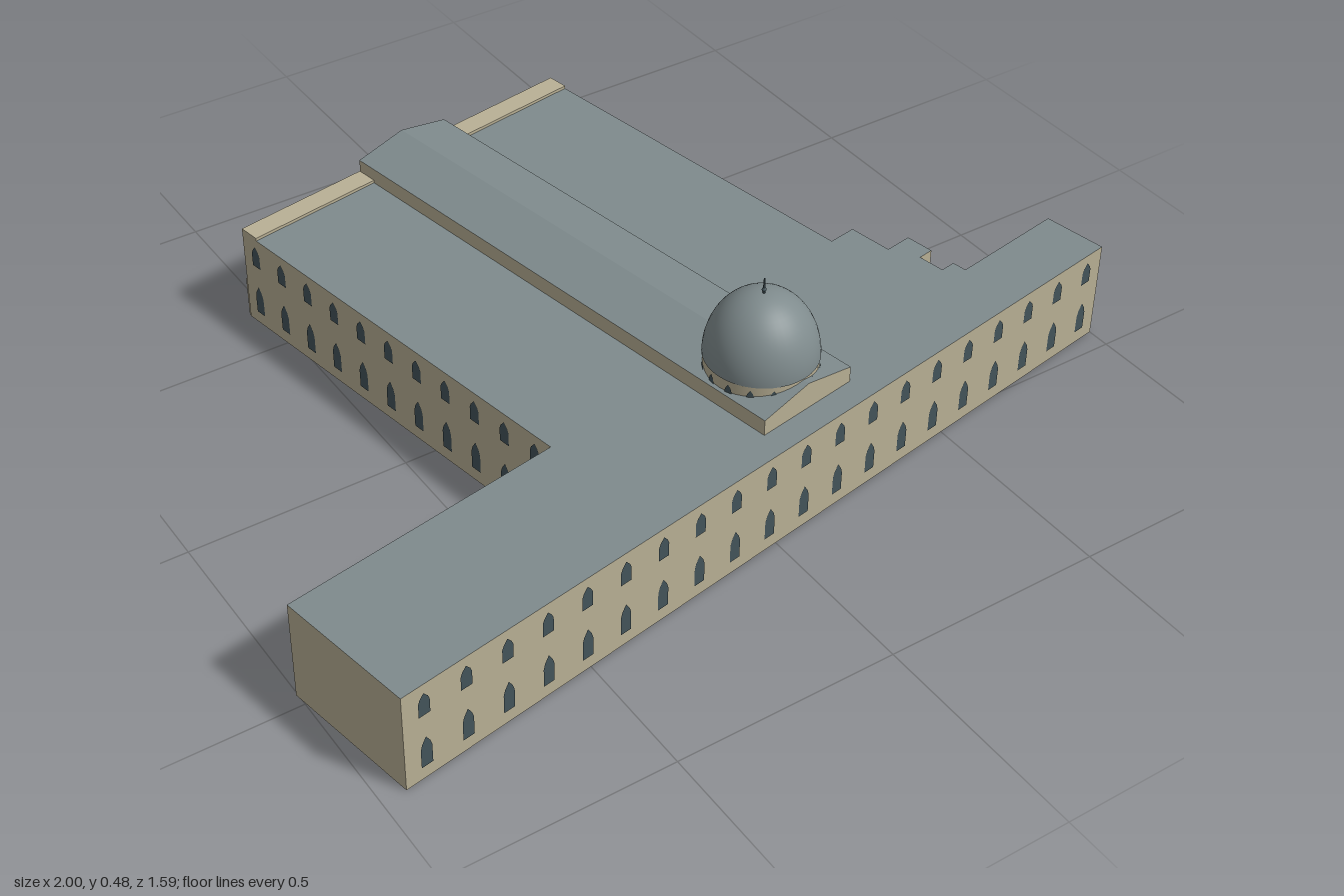
import * as THREE from 'three';
import { mergeGeometries } from 'three/addons/utils/BufferGeometryUtils.js';

const H = 0.233; // wall height

function material(name, color, side = THREE.DoubleSide) {
  const m = new THREE.MeshStandardMaterial({ color, side });
  m.name = name;
  return m;
}

// Pointed window outline, bottom centre at (0, y)
function windowShape(y, w, h) {
  const s = new THREE.Shape();
  s.moveTo(-w / 2, y);
  s.lineTo(w / 2, y);
  s.lineTo(w / 2, y + h * 0.6);
  s.lineTo(w * 0.36, y + h * 0.78);
  s.lineTo(0, y + h);
  s.lineTo(-w * 0.36, y + h * 0.78);
  s.lineTo(-w / 2, y + h * 0.6);
  return s;
}

export function createModel() {
  const stone = material('sandstone', 0xb9b095);
  const slate = material('slate', 0x7f8b8d);
  const glass = material('dark glass', 0x43545a);
  const brown = material('brown reveal', 0x7a6557);

  const model = new THREE.Group();
  const building = new THREE.Group();
  building.name = 'building';
  building.rotation.y = THREE.MathUtils.degToRad(10);
  model.add(building);

  function add(name, geometry, mat, x = 0, y = 0, z = 0) {
    const mesh = new THREE.Mesh(geometry, mat);
    mesh.name = name;
    mesh.position.set(x, y, z);
    building.add(mesh);
    return mesh;
  }

  // Plan corners [x, z, window columns on the wall that starts here]
  const back = -0.718, roofBack = -0.667;
  const plan = [
    [-1.07, 0.613, 20], [0.908, 0.613, 0], [0.908, 0.464, 0], [0.626, 0.464, 0],
    [0.626, 0.43, 0], [0.59, 0.43, 0], [0.59, 0.367, 0], [0.627, 0.367, 0],
    [0.627, 0.3, 0], [0.562, 0.3, 0], [0.562, 0.195, 0], [0.495, 0.195, 10],
    [0.495, back, -1], [-0.421, back, 11], [-0.421, 0.289, 7], [-1.07, 0.289, 0],
  ];

  // Outer walls and their two rows of windows
  const walls = [], panes = [];
  plan.forEach(([ax, az, count], i) => {
    if (count < 0) return; // arcade side
    const [bx, bz] = plan[(i + 1) % plan.length];
    const length = Math.hypot(bx - ax, bz - az);
    const angle = Math.atan2(az - bz, bx - ax);
    const place = (g) => g.rotateY(angle).translate((ax + bx) / 2, 0, (az + bz) / 2);
    walls.push(place(new THREE.PlaneGeometry(length, H).translate(0, H / 2, 0)));
    for (let k = 0; k < count; k++) {
      const x = ((k + 0.5) / count - 0.5) * length;
      for (const [y, h] of [[0.032, 0.073], [0.16, 0.054]]) {
        panes.push(place(new THREE.ShapeGeometry(windowShape(y, 0.027, h)).translate(x, 0, 0.002)));
      }
    }
  });
  add('outerWalls', mergeGeometries(walls), stone);
  const paneMaterial = material('dark glass front', 0x43545a, THREE.FrontSide);
  paneMaterial.name = glass.name;
  add('windows', mergeGeometries(panes), glass);

  // Flat roof, stopping at the arcade
  const roof = new THREE.Shape(plan.map(([x, z]) => new THREE.Vector2(x, -Math.max(z, roofBack))));
  add('flatRoof', new THREE.ShapeGeometry(roof).rotateX(-Math.PI / 2), slate, 0, H, 0);

  // Back arcade: seven pointed openings with brown reveals
  const left = -0.419, right = 0.493, bays = 7;
  const bay = (right - left) / bays, half = 0.041;
  const arcade = new THREE.Shape();
  arcade.moveTo(left, 0);
  for (let i = 0; i < bays; i++) {
    const c = left + (i + 0.5) * bay;
    arcade.lineTo(c - half, 0);
    arcade.lineTo(c - half, 0.1);
    arcade.quadraticCurveTo(c - half, 0.145, c, 0.172);
    arcade.quadraticCurveTo(c + half, 0.145, c + half, 0.1);
    arcade.lineTo(c + half, 0);
  }
  arcade.lineTo(right, 0);
  arcade.lineTo(right, H);
  arcade.lineTo(left, H);
  add('arcade', new THREE.ExtrudeGeometry(arcade, {
    depth: roofBack - back, bevelEnabled: false, curveSegments: 6,
  }), [stone, brown], 0, 0, back);
  add('arcadeCap', new THREE.BoxGeometry(0.916, 0.007, roofBack - back), stone,
    0.037, H + 0.0035, (roofBack + back) / 2);
  for (let i = 0; i <= bays; i++) {
    const x = Math.min(Math.max(left + i * bay, left + 0.013), right - 0.013);
    add('pierPilaster', new THREE.BoxGeometry(0.026, 0.1, 0.008), stone, x, 0.05, back - 0.003);
  }

  // Raised nave with a low gable
  const naveX = 0.035, naveW = 0.25, naveFront = 0.552, naveBack = -0.7165;
  const naveLength = naveFront - naveBack;
  add('naveWalls', new THREE.BoxGeometry(naveW, 0.041, naveLength), stone,
    naveX, 0.2495, (naveFront + naveBack) / 2);
  const gable = new THREE.Shape();
  gable.moveTo(-naveW / 2, 0);
  gable.lineTo(naveW / 2, 0);
  gable.lineTo(0, 0.026);
  add('naveRoof', new THREE.ExtrudeGeometry(gable, { depth: naveLength, bevelEnabled: false }),
    [stone, slate], naveX, 0.27, naveBack);

  // Drum, dome and finial
  const dx = 0.037, dz = 0.418, r = 0.121;
  add('drum', new THREE.CylinderGeometry(r - 0.002, r - 0.002, 0.066, 40, 1, true), stone, dx, 0.268, dz);
  const drumPanes = [];
  for (let i = 0; i < 16; i++) {
    drumPanes.push(new THREE.ShapeGeometry(windowShape(0.254, 0.016, 0.038))
      .translate(0, 0, r).rotateY((i + 0.5) * Math.PI / 8));
  }
  add('drumWindows', mergeGeometries(drumPanes), glass, dx, 0, dz);
  const dome = add('dome', new THREE.SphereGeometry(r, 40, 16, 0, Math.PI * 2, 0, Math.PI / 2),
    slate, dx, 0.3, dz);
  dome.scale.y = 0.147 / r;
  add('finial', new THREE.CylinderGeometry(0.0015, 0.003, 0.04, 8), glass, dx, 0.462, dz);
  add('finialBall', new THREE.SphereGeometry(0.005, 10, 8), glass, dx, 0.455, dz);

  return model;
}
